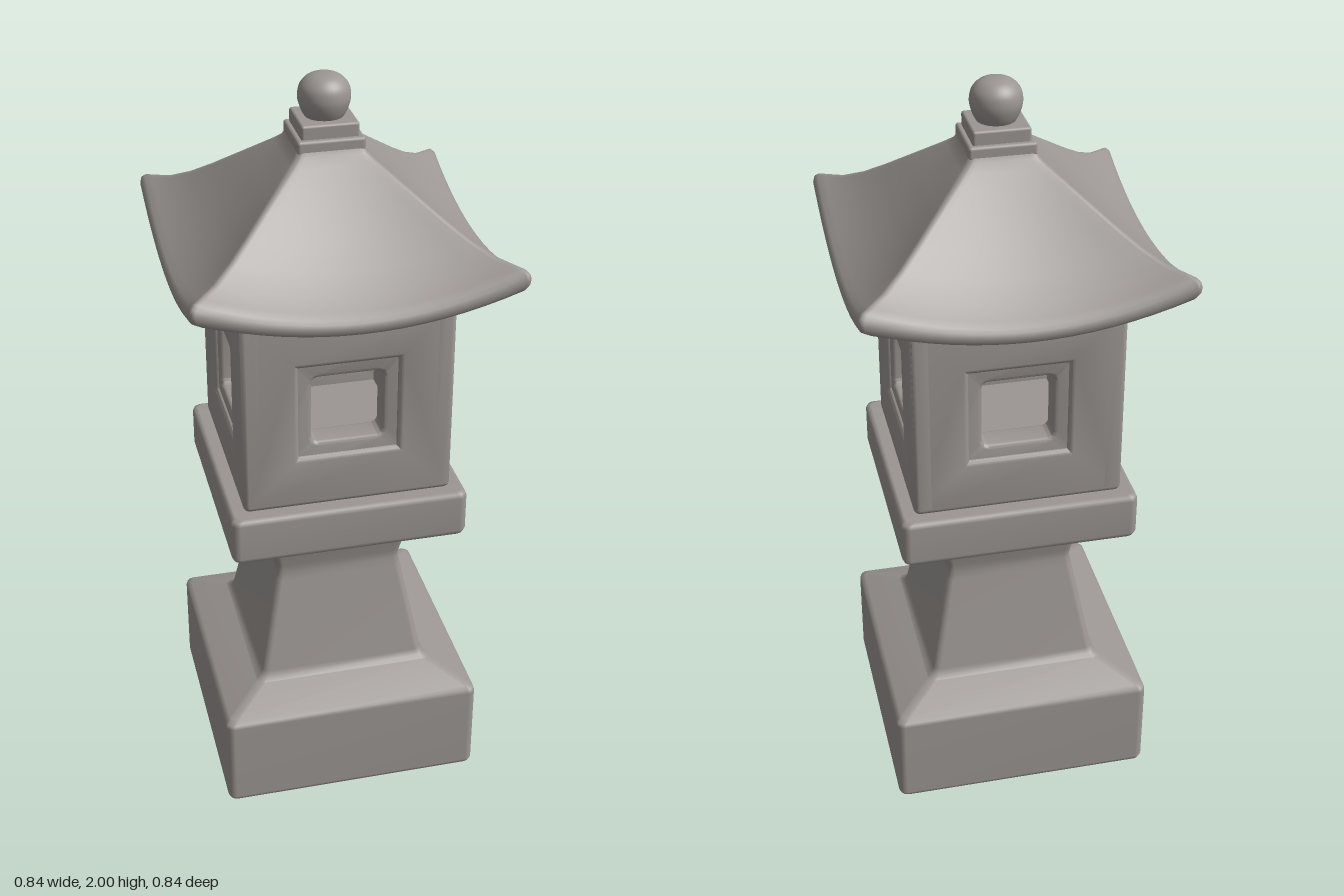
import * as THREE from 'three';
import { RoundedBoxGeometry } from 'three/addons/geometries/RoundedBoxGeometry.js';
import { toCreasedNormals } from 'three/addons/utils/BufferGeometryUtils.js';

// Closed ring of a rounded square; lift raises it towards the corners.
function squareRing(half, y, radius, lift, sideSteps) {
  const r = Math.min(radius, half), c = half - r, arc = 4, pts = [];
  const put = (x, z) => {
    const t = half ? Math.min(Math.abs(x), Math.abs(z)) / half : 0;
    pts.push([x, y + lift * t * t, z]);
  };
  for (let q = 0; q < 4; q++) {
    const at = (a, cx, cz) => [cx + r * Math.cos(a), cz + r * Math.sin(a)];
    const a0 = q * Math.PI / 2, a1 = a0 + Math.PI / 2;
    const sx = q === 0 || q === 3 ? 1 : -1, sz = q < 2 ? 1 : -1;
    for (let k = 0; k <= arc; k++) put(...at(a0 + (a1 - a0) * k / arc, c * sx, c * sz));
    // straight run from this corner to the next one
    const nx = q === 0 || q === 1 ? -1 : 1, nz = q === 0 || q === 3 ? 1 : -1;
    const p = at(a1, c * sx, c * sz), e = at(a1, c * nx, c * nz);
    for (let k = 1; k < sideSteps; k++) {
      const s = k / sideSteps;
      put(p[0] + (e[0] - p[0]) * s, p[1] + (e[1] - p[1]) * s);
    }
  }
  return pts;
}

// Joins rings given as [half width, height, corner lift].
function squareLoft(profile, radius, sideSteps = 1) {
  const rings = profile.map(([h, y, lift = 0]) => squareRing(h, y, radius, lift, sideSteps));
  const n = rings[0].length, index = [];
  for (let j = 0; j < rings.length - 1; j++) {
    for (let i = 0; i < n; i++) {
      const a = j * n + i, b = j * n + (i + 1) % n;
      index.push(a, a + n, b, b, a + n, b + n);
    }
  }
  const geo = new THREE.BufferGeometry();
  geo.setAttribute('position', new THREE.Float32BufferAttribute(rings.flat(2), 3));
  geo.setIndex(index);
  geo.computeVertexNormals();
  return geo;
}

function roundedSquare(path, h, r) {
  const c = h - r;
  path.absarc(c, c, r, 0, Math.PI / 2);
  path.absarc(-c, c, r, Math.PI / 2, Math.PI);
  path.absarc(-c, -c, r, Math.PI, Math.PI * 1.5);
  path.absarc(c, -c, r, Math.PI * 1.5, Math.PI * 2);
  path.closePath();
  return path;
}

// Square wall slab with a square opening and soft edges, its front face at z = front.
function wallPanel(half, hole, holeRadius, thickness, bevel, front) {
  const shape = roundedSquare(new THREE.Shape(), half - bevel, 0.004);
  shape.holes.push(roundedSquare(new THREE.Path(), hole, holeRadius));
  const geo = new THREE.ExtrudeGeometry(shape, {
    depth: thickness - 2 * bevel, bevelEnabled: true, bevelSize: bevel,
    bevelThickness: bevel, bevelSegments: 3, curveSegments: 6,
  });
  geo.translate(0, 0, front - thickness + bevel);
  return toCreasedNormals(geo, 0.7);
}

export function createModel() {
  const model = new THREE.Group();
  model.name = 'stoneLantern';
  const stone = new THREE.MeshStandardMaterial({ color: 0x9b9693 });
  stone.name = 'grey stone';

  const add = (name, geo, y = 0, parent = model) => {
    const mesh = new THREE.Mesh(geo, stone);
    mesh.name = name;
    mesh.position.y = y;
    parent.add(mesh);
    return mesh;
  };

  // Foot block with sloping shoulder
  add('base', squareLoft([
    [0, 0], [0.345, 0], [0.356, 0.004], [0.36, 0.015], [0.36, 0.262], [0.357, 0.273],
    [0.345, 0.282], [0.25, 0.323], [0.22, 0.335],
  ], 0.022));

  // Waisted pillar
  add('pillar', squareLoft([
    [0.25, 0.323], [0.238, 0.331], [0.231, 0.347], [0.18, 0.615], [0.175, 0.64],
    [0.178, 0.665], [0.194, 0.735], [0.199, 0.75], [0.212, 0.762],
  ], 0.02));

  // Platform under the fire box
  add('platform', squareLoft([
    [0.19, 0.753], [0.212, 0.762], [0.3, 0.785], [0.315, 0.793], [0.32, 0.806], [0.32, 0.908],
    [0.316, 0.919], [0.306, 0.923], [0, 0.923],
  ], 0.022));

  // Hollow fire box with a framed window in every wall
  const fireBox = new THREE.Group();
  fireBox.name = 'fireBox';
  fireBox.position.y = 1.202;
  model.add(fireBox);
  const outer = wallPanel(0.28, 0.145, 0.004, 0.06, 0.014, 0.28);
  const inner = wallPanel(0.21, 0.105, 0.028, 0.075, 0.01, 0.267);
  for (let i = 0; i < 4; i++) {
    const wall = new THREE.Group();
    wall.name = 'wall' + (i + 1);
    wall.rotation.y = i * Math.PI / 2;
    add('wallFace', outer, 0, wall);
    add('windowFrame', inner, 0, wall);
    fireBox.add(wall);
  }
  for (const [name, s] of [['fireBoxFloor', -1], ['fireBoxCeiling', 1]]) {
    add(name, new THREE.BoxGeometry(0.53, 0.08, 0.53), s * 0.236, fireBox);
  }

  // Flared roof with upswept corners: underside, rim, then upper slope
  add('roof', squareLoft([
    [0, 1.478], [0.26, 1.478, 0.004], [0.34, 1.478, 0.03], [0.4, 1.484, 0.065],
    [0.412, 1.487, 0.074], [0.418, 1.495, 0.079], [0.42, 1.507, 0.082], [0.417, 1.518, 0.084],
    [0.408, 1.526, 0.085], [0.39, 1.537, 0.078], [0.35, 1.563, 0.062], [0.3, 1.603, 0.05],
    [0.25, 1.65, 0.04], [0.2, 1.704, 0.026], [0.15, 1.756, 0.014], [0.11, 1.797, 0.005],
    [0.092, 1.818], [0.084, 1.835],
  ], 0.014, 16));

  // Stepped cap and round finial
  add('roofCollar', new RoundedBoxGeometry(0.174, 0.035, 0.174, 3, 0.008), 1.839);
  add('finialSeat', new RoundedBoxGeometry(0.148, 0.06, 0.148, 3, 0.007), 1.862);
  const knob = [
    [0, 1.865], [0.035, 1.875], [0.053, 1.897], [0.064, 1.923], [0.067, 1.945],
    [0.062, 1.969], [0.046, 1.988], [0.024, 1.998], [0, 2],
  ].map(([x, y]) => new THREE.Vector2(x, y));
  const curve = new THREE.SplineCurve(knob).getPoints(32);
  curve.forEach((p) => { p.x = Math.max(0, p.x); });
  add('finial', new THREE.LatheGeometry(curve, 32));

  return model;
}
